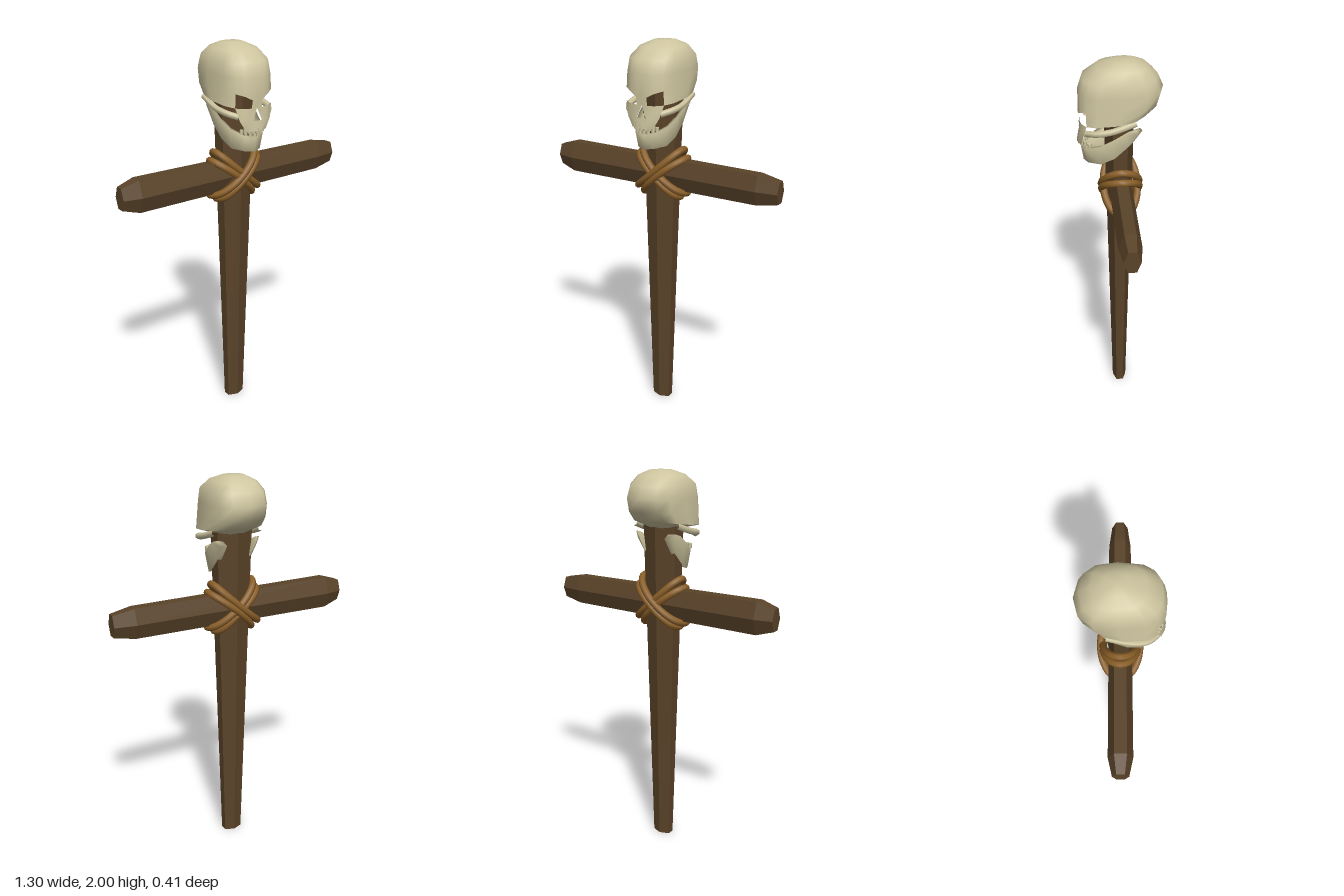
import * as THREE from 'three';

const mat = (color, flat = false) => new THREE.MeshStandardMaterial({ color, flatShading: flat, roughness: 0.9 });
const wood = mat(0x5a4329, true);
const rope = mat(0x8a5f28);
const bone = mat(0xcfc6a0);

function add(parent, name, geometry, material) {
  const mesh = new THREE.Mesh(geometry, material);
  mesh.name = name;
  parent.add(mesh);
  return mesh;
}

function indexed(positions, index) {
  const g = new THREE.BufferGeometry();
  g.setAttribute('position', new THREE.Float32BufferAttribute(positions, 3));
  g.setIndex(index);
  g.computeVertexNormals();
  return g;
}

// Skull shell: rows of rounded-box sections, with cells left open for eyes and nose
function buildCranium(skull) {
  // front y, back y, half width, front z, back z
  const rows = [
    [1.605, 1.605, 0.08, 0.2, 0.02],
    [1.655, 1.67, 0.125, 0.195, -0.02],
    [1.715, 1.76, 0.148, 0.188, -0.13],
    [1.785, 1.805, 0.145, 0.195, -0.185],
    [1.86, 1.87, 0.141, 0.193, -0.205],
    [1.925, 1.93, 0.137, 0.172, -0.178],
    [1.973, 1.973, 0.105, 0.105, -0.13],
    [1.998, 1.996, 0.055, 0.03, -0.075],
  ];
  const half = [0, 0.12, 0.35, 0.7, 1.1, 1.6, 2.1, 2.6];
  const angles = [...half, Math.PI, ...half.slice(1).reverse().map(t => 2 * Math.PI - t)];
  const n = angles.length;
  const power = v => Math.sign(v) * Math.abs(v) ** 0.75;
  const pos = [];
  rows.forEach(([yf, yb, w, zf, zb], r) => angles.forEach((t, c) => {
    const k = Math.min(c, n - c); // column counted from the front centre
    let y = yf + (yb - yf) * (1 - Math.cos(t)) / 2;
    if (r === 3 && k < 3) y -= [0.02, 0.03, 0.012][k]; // slanted brow
    pos.push(w * power(Math.sin(t)), y, (zf + zb) / 2 + (zf - zb) / 2 * power(Math.cos(t)));
  }));
  pos.push(0, 2, -0.02);
  const top = rows.length * n;
  const index = [];
  for (let r = 0; r < rows.length - 1; r++) {
    for (let c = 0; c < n; c++) {
      const k = Math.min(c, n - 1 - c);
      if (r < 2 && k > 2) continue; // upper jaw is at the front only
      if (r === 2 && (k === 1 || k === 2)) continue; // eye socket
      const d = (c + 1) % n;
      const a = r * n + c, b = r * n + d, e = a + n, f = b + n;
      if (r === 1 && k === 0) { // triangular nose
        if (c === 0) index.push(b, f, e);
        else index.push(a, f, e);
        continue;
      }
      index.push(a, b, f, a, f, e);
    }
  }
  for (let c = 0; c < n; c++) index.push((rows.length - 1) * n + c, (rows.length - 1) * n + (c + 1) % n, top);
  add(skull, 'cranium', indexed(pos, index), bone);

  // Underside of the cranium
  const base = [...pos.slice(2 * n * 3, 3 * n * 3), 0, 1.7, -0.03];
  const fan = [];
  for (let c = 0; c < n; c++) fan.push((c + 1) % n, c, n);
  add(skull, 'skullBase', indexed(base, fan), bone);
}

// Lower jaw: four-cornered section swept around a U
function buildJaw(skull) {
  // x, z, top y, bottom y
  const side = [
    [0.118, -0.07, 1.7, 1.67],
    [0.118, -0.02, 1.685, 1.6],
    [0.112, 0.04, 1.645, 1.54],
    [0.095, 0.105, 1.605, 1.505],
    [0.055, 0.165, 1.58, 1.5],
  ];
  const path = [...side, [0, 0.185, 1.572, 1.495], ...side.map(([x, ...s]) => [-x, ...s]).reverse()];
  const pos = [], index = [];
  path.forEach(([x, z, t, b]) => {
    const inX = x * 0.8, inZ = z - 0.022;
    pos.push(x, t, z, x * 0.84, b, z - 0.012, inX * 0.84, b + 0.008, inZ - 0.012, inX, t, inZ);
  });
  for (let i = 0; i < path.length - 1; i++) {
    for (let j = 0; j < 4; j++) {
      const a = i * 4 + j, b = i * 4 + (j + 1) % 4;
      index.push(a, a + 4, b, b, a + 4, b + 4);
    }
  }
  const e = (path.length - 1) * 4;
  index.push(0, 1, 2, 0, 2, 3, e, e + 2, e + 1, e, e + 3, e + 2);
  const g = indexed(pos, index);
  add(skull, 'lowerJaw', g, new THREE.MeshStandardMaterial({ color: 0xcfc6a0, roughness: 0.9, side: THREE.DoubleSide }));
}

export function createModel() {
  const model = new THREE.Group();
  model.name = 'skullOnCross';

  // Tapered hexagonal post, reaching up inside the skull
  const post = add(model, 'post', new THREE.CylinderGeometry(0.115, 0.058, 1.84, 6), wood);
  post.position.y = 0.92;
  post.scale.z = 0.65;

  // Hexagonal crossbar with chamfered ends
  const profile = [[0, -0.65], [0.063, -0.65], [0.094, -0.56], [0.087, 0.54], [0.063, 0.65], [0, 0.65]];
  const barGeometry = new THREE.LatheGeometry(profile.map(p => new THREE.Vector2(...p)), 6);
  const bar = add(model, 'crossbar', barGeometry, wood);
  bar.scale.z = 0.63;
  bar.rotation.z = -Math.PI / 2;
  bar.position.set(0, 1.338, -0.006);

  // Crossed double lashings
  const lashing = new THREE.Group();
  lashing.name = 'lashing';
  lashing.position.set(0, 1.34, -0.006);
  model.add(lashing);
  for (const s of [-1, 1]) {
    for (const k of [-1, 1]) {
      const pts = [];
      for (let i = 0; i < 12; i++) {
        const a = i / 12 * Math.PI * 2;
        pts.push(new THREE.Vector3(
          (0.163 + 0.006 * k) * Math.cos(a),
          k * (0.018 + 0.005 * Math.cos(2 * a)),
          (0.09 + 0.005 * s) * Math.sin(a)));
      }
      const curve = new THREE.CatmullRomCurve3(pts, true);
      const strand = add(lashing, 'ropeStrand', new THREE.TubeGeometry(curve, 36, 0.018, 8, true), rope);
      strand.rotation.z = s * 0.72;
    }
  }

  const skull = new THREE.Group();
  skull.name = 'skull';
  model.add(skull);
  buildCranium(skull);
  buildJaw(skull);

  // Cheekbones
  for (const s of [-1, 1]) {
    const arch = new THREE.CatmullRomCurve3([
      [0.085, 1.675, 0.16], [0.125, 1.69, 0.115], [0.137, 1.705, 0.04], [0.128, 1.74, -0.07],
    ].map(([x, y, z]) => new THREE.Vector3(s * x, y, z)));
    add(skull, 'cheekbone', new THREE.TubeGeometry(arch, 12, 0.016, 6), bone);
  }

  // Teeth on both jaws
  for (const [name, y, w, z, rise] of [['upperTooth', 1.607, 0.058, 0.193, 0], ['lowerTooth', 1.582, 0.066, 0.172, 0.012]]) {
    for (let i = -3; i <= 3; i++) {
      const a = i / 3 * 1.1;
      const tooth = add(skull, name, new THREE.CylinderGeometry(0.009, 0.009, 0.024, 6), bone);
      tooth.position.set(w * Math.sin(a), y + rise * (1 - Math.cos(a)) * 2, z - 0.05 * (1 - Math.cos(a)));
    }
  }
  return model;
}
